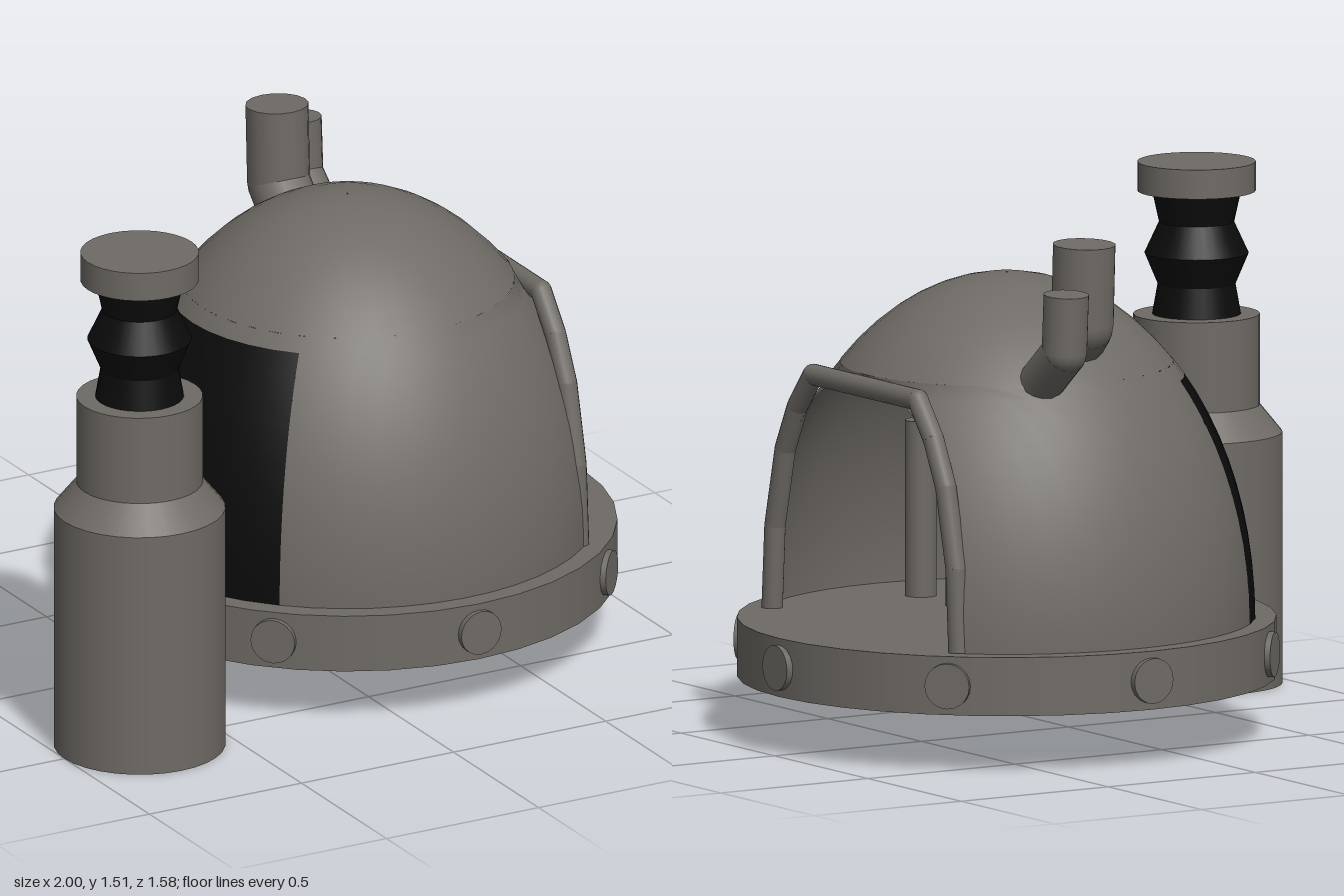
import * as THREE from 'three';
import { ParametricGeometry } from 'three/addons/geometries/ParametricGeometry.js';

const CX = 0.21, FLOOR = 0.34, R = 0.715, CUT = 0.48; // dome centre, base height, radius, doorway plane

export function createModel() {
  const model = new THREE.Group();
  const metal = new THREE.MeshStandardMaterial({ color: 0x6e6a65 });
  metal.name = 'warmGrey';
  const shell = new THREE.MeshStandardMaterial({ color: 0x6e6a65, side: THREE.DoubleSide });
  shell.name = 'warmGreyShell';
  const black = new THREE.MeshStandardMaterial({ color: 0x0b0b0b, side: THREE.DoubleSide });
  black.name = 'black';

  const add = (name, geo, mat, parent = model) => {
    const mesh = new THREE.Mesh(geo, mat);
    mesh.name = name;
    parent.add(mesh);
    return mesh;
  };

  // Straight rods joined by balls along a list of points
  const pipe = (name, pts, r) => {
    const group = new THREE.Group();
    group.name = name;
    const v = pts.map(p => new THREE.Vector3(...p));
    for (let i = 0; i + 1 < v.length; i++) {
      const dir = v[i + 1].clone().sub(v[i]);
      const rod = add(name + 'Segment', new THREE.CylinderGeometry(r, r, dir.length(), 16), metal, group);
      rod.position.copy(v[i]).addScaledVector(dir, 0.5);
      rod.quaternion.setFromUnitVectors(new THREE.Vector3(0, 1, 0), dir.normalize());
      if (i > 0) add(name + 'Joint', new THREE.SphereGeometry(r, 16, 10), metal, group).position.copy(v[i]);
    }
    model.add(group);
  };

  // Round base plate with eight studs on the rim
  add('basePlate', new THREE.CylinderGeometry(0.775, 0.775, 0.17, 36), metal).position.set(CX, 0.255, 0);
  for (let i = 0; i < 8; i++) {
    const a = i * Math.PI / 4;
    const stud = add('rimStud', new THREE.CylinderGeometry(0.066, 0.066, 0.06, 20), metal);
    stud.rotation.set(0, -a, -Math.PI / 2, 'YXZ');
    stud.position.set(CX + Math.cos(a) * 0.759, 0.255, Math.sin(a) * 0.759);
  }

  // Dome pieces: half ellipsoid, sliced off at the doorway plane
  const doorAngle = phi => Math.acos(Math.min(1, CUT / Math.max(R * Math.cos(phi), 1e-6)));
  const domePiece = (name, mat, from, to, phi0, phi1, cols, rows) => {
    const f = (u, v, target) => {
      const phi = phi0 + (phi1 - phi0) * v;
      const t = THREE.MathUtils.lerp(from(phi), to(phi), u);
      const r = R * Math.cos(phi);
      target.set(CX + r * Math.cos(t), FLOOR + Math.sin(phi), -r * Math.sin(t));
    };
    add(name, new ParametricGeometry(f, cols, rows), mat);
  };
  const at = deg => () => THREE.MathUtils.degToRad(deg);
  const doorTop = Math.acos(CUT / R), panelTop = Math.asin(0.7);
  domePiece('domeBackWall', shell, doorAngle, at(135), 0, doorTop, 12, 14);
  domePiece('domeFrontWall', shell, at(225), p => 2 * Math.PI - doorAngle(p), 0, doorTop, 12, 14);
  domePiece('blackPanel', black, at(135), at(225), 0, panelTop, 10, 10);
  domePiece('panelLintel', shell, at(135), at(225), panelTop, doorTop, 10, 1);
  domePiece('domeCrown', shell, at(0), at(360), doorTop, Math.PI / 2 - 0.003, 36, 8);

  // Doorway frame
  const half = [[0.5, 0.34], [0.485, 0.58], [0.43, 0.81], [0.365, 0.94], [0.28, 1.045]];
  const arch = [...half, ...half.map(([z, y]) => [-z, y]).reverse()];
  pipe('doorFrame', arch.map(([z, y]) => [CX + CUT, y, z]), 0.031);

  // Row of upright bars inside
  for (const [z, top, r] of [[0, 1.08, 0.056], [0.24, 1.07, 0.048], [-0.24, 1.07, 0.048], [0.46, 0.85, 0.046], [-0.46, 0.85, 0.046]]) {
    add('innerBar', new THREE.CylinderGeometry(r, r, top - FLOOR, 16), metal).position.set(CX, (top + FLOOR) / 2, z);
  }

  // Two bent chimneys
  pipe('largeChimney', [[CX, 1.475, -0.415], [CX, 1.24, -0.405], [CX, 1.13, -0.3]], 0.091);
  pipe('smallChimney', [[0.36, 1.36, -0.555], [0.36, 1.19, -0.545], [0.36, 1.07, -0.4]], 0.066);

  // Canister with bellows neck and cap
  const canister = new THREE.Group();
  canister.name = 'canister';
  canister.position.set(-0.753, 0, 0.5);
  model.add(canister);
  const stack = (name, mat, pts) => {
    for (let i = 0; i + 1 < pts.length; i++) {
      const [r0, y0] = pts[i], [r1, y1] = pts[i + 1];
      add(name, new THREE.CylinderGeometry(r1, r0, y1 - y0, 32), mat, canister).position.y = (y0 + y1) / 2;
    }
  };
  stack('canisterBody', metal, [[0.247, 0], [0.247, 0.73], [0.182, 0.81], [0.182, 1.073]]);
  stack('bellowsNeck', black, [[0.128, 1.07], [0.112, 1.16], [0.15, 1.25], [0.108, 1.34], [0.128, 1.43]]);
  stack('canisterCap', metal, [[0.17, 1.43], [0.17, 1.515]]);

  return model;
}
